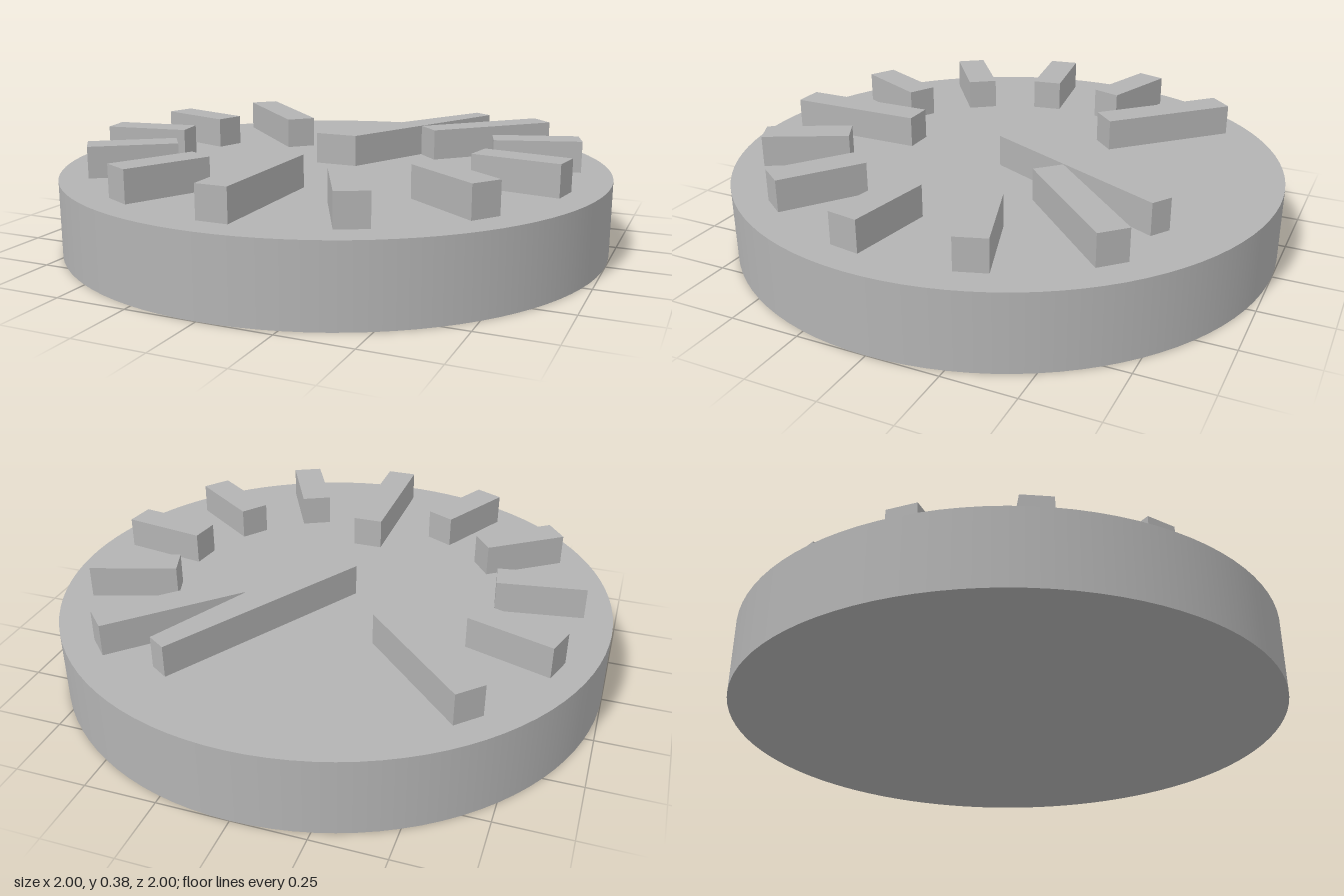
import * as THREE from 'three';

const BASE_H = 0.27, TOP = 0.383, CX = -0.004;

export function createModel() {
  const group = new THREE.Group();
  const grey = new THREE.MeshStandardMaterial({ color: 0xb3b3b3 });
  grey.name = 'grey';

  const add = (name, geometry, x = 0, y = 0, z = 0) => {
    const mesh = new THREE.Mesh(geometry, grey);
    mesh.name = name;
    mesh.position.set(x, y, z);
    group.add(mesh);
    return mesh;
  };

  // Round dial body
  add('dialBase', new THREE.CylinderGeometry(1, 1, BASE_H, 96), 0, BASE_H / 2, 0);

  // Raised scale marks every 27 degrees; the two ends and the middle are longer
  const outer = 0.894, sink = 0.01, h = TOP - BASE_H + sink;
  for (let i = 0; i <= 10; i++) {
    const long = i % 5 === 0;
    const inner = long ? 0.384 : 0.58;
    const a = THREE.MathUtils.degToRad(-45 + 27 * i);
    const r = (outer + inner) / 2;
    const mark = add(long ? 'longMark' : 'shortMark',
      new THREE.BoxGeometry(outer - inner, h, 0.11),
      CX + r * Math.cos(a), TOP - h / 2, r * Math.sin(a) - 0.002);
    mark.rotation.y = -a;
  }

  // Tapered pointer hand, outlined in plan (x, -z) and raised
  const outline = new THREE.Shape([
    [-0.08, 0.005], [0.077, 0.005], [0.4, 0.678], [0.335, 0.72],
  ].map(([x, y]) => new THREE.Vector2(x, y)));
  const hand = new THREE.ExtrudeGeometry(outline, { depth: h, bevelEnabled: false });
  hand.rotateX(-Math.PI / 2);
  add('pointerHand', hand, 0, BASE_H - sink, 0);

  return group;
}
